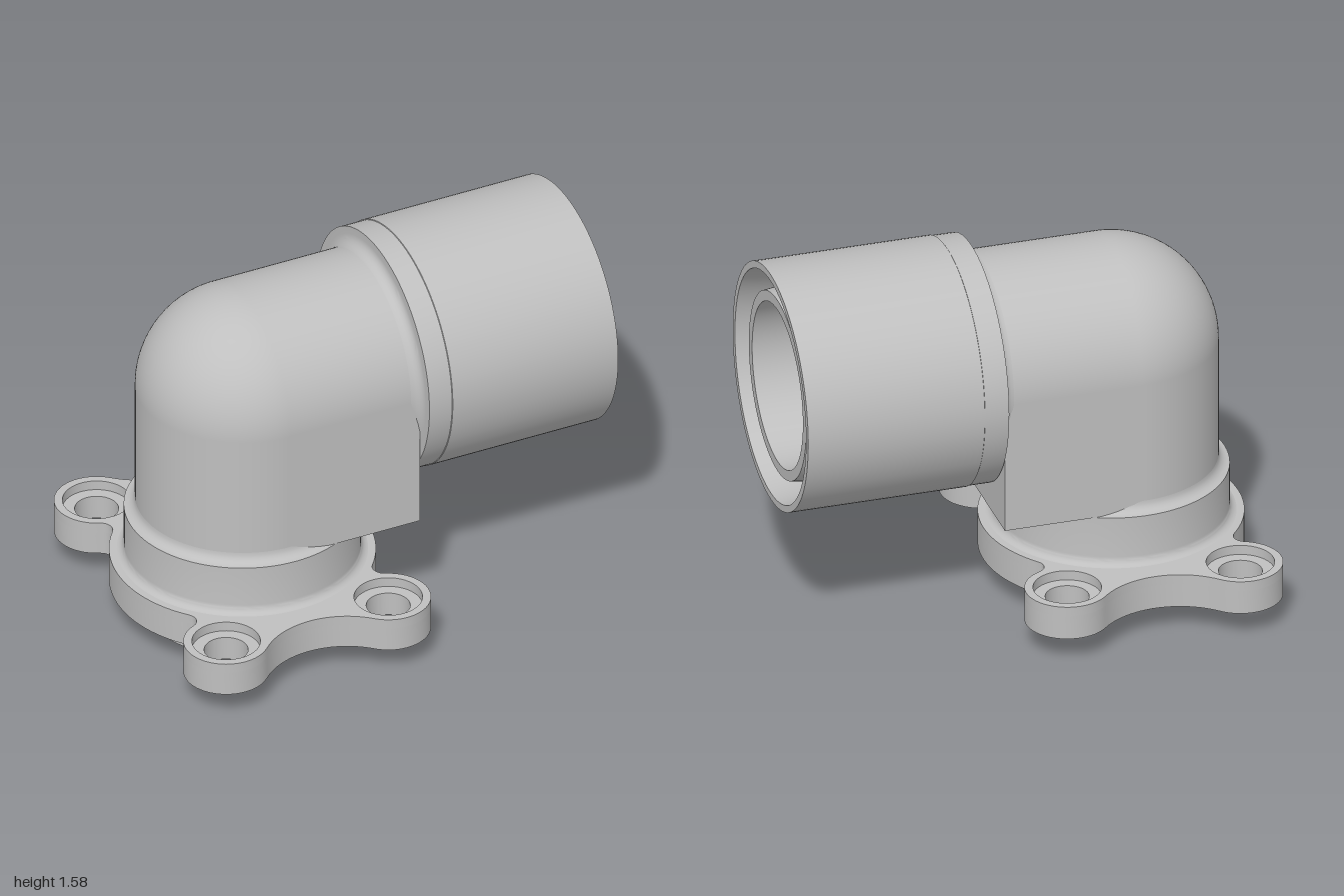
import * as THREE from 'three';
import { toCreasedNormals } from 'three/addons/utils/BufferGeometryUtils.js';

const CX = -0.455;   // vertical pipe axis
const CY = 1.06;     // horizontal pipe axis
const BODY_R = 0.44, BORE_R = 0.35, END_X = 0.135;

export function createModel() {
  const model = new THREE.Group();
  const grey = new THREE.MeshStandardMaterial({ color: 0xbfbfbf, side: THREE.DoubleSide });
  grey.name = 'light grey';

  const add = (name, geometry, x = 0, y = 0, z = 0, parent = model) => {
    const mesh = new THREE.Mesh(geometry, grey);
    mesh.name = name;
    mesh.position.set(x, y, z);
    parent.add(mesh);
    return mesh;
  };
  const lathe = (pts) => toCreasedNormals(
    new THREE.LatheGeometry(pts.map(([r, y]) => new THREE.Vector2(r, y)), 96), 0.5);

  // Concave quarter round running inwards from radius R at height Y
  const fillet = (R, Y, s, sign) => Array.from({ length: 7 }, (_, i) => {
    const t = i / 6 * Math.PI / 2;
    return [R - s * Math.sin(t), Y + sign * s * (1 - Math.cos(t))];
  });

  // Two mitred tubes and a rounded outer corner, centred on the bend
  function elbow(name, r, drop, run) {
    const group = new THREE.Group();
    group.name = name;
    group.position.set(CX, CY, 0);
    model.add(group);
    const tube = (length, s) => {
      const g = new THREE.CylinderGeometry(r, r, 1, 96, 1, true);
      const p = g.attributes.position;
      for (let i = 0; i < p.count; i++) {
        p.setY(i, p.getY(i) > 0 ? -Math.max(s * p.getX(i), 0) : -length);
      }
      return g;
    };
    add(name + 'Upright', tube(drop, 1), 0, 0, 0, group);
    add(name + 'Run', tube(run, -1).rotateZ(Math.PI / 2), 0, 0, 0, group);
    add(name + 'Corner', new THREE.SphereGeometry(r, 48, 24, -Math.PI / 2, Math.PI, 0, Math.PI / 2), 0, 0, 0, group);
  }
  elbow('body', BODY_R, CY - 0.5, 0.12 - CX);
  elbow('bore', BORE_R, CY - 0.5, 0.97 - CX);

  // Square block filling the inside of the bend
  const len = END_X - CX, wallH = CY - 0.48;
  for (const s of [1, -1]) {
    const wall = new THREE.PlaneGeometry(len, wallH);
    if (s < 0) wall.rotateY(Math.PI);
    add('blockSide', wall, CX + len / 2, 0.48 + wallH / 2, s * BODY_R);
  }
  const end = new THREE.Shape();
  end.moveTo(-BODY_R, -wallH);
  end.lineTo(BODY_R, -wallH);
  end.lineTo(BODY_R, 0);
  end.absarc(0, 0, BODY_R, 0, Math.PI, true);
  add('blockEnd', new THREE.ShapeGeometry(end, 48).rotateY(Math.PI / 2), END_X, CY, 0);

  const a = Math.asin(BODY_R / 0.485);
  const under = new THREE.Shape();
  under.moveTo(0.485 * Math.cos(a), -BODY_R);
  under.lineTo(len, -BODY_R);
  under.lineTo(len, BODY_R);
  under.lineTo(0.485 * Math.cos(a), BODY_R);
  under.absarc(0, 0, 0.485, a, -a, true);
  add('blockUnderside', new THREE.ShapeGeometry(under, 48).rotateX(Math.PI / 2), CX, 0.48, 0);

  // Spigot, seal step and collar, with the tapered mouth of the bore
  add('collar', lathe([
    [BORE_R, 0.5], [0.385, 0], [0.41, 0], [0.41, 0.05], [0.414, 0.062], [0.425, 0.07],
    [0.46, 0.07], [0.46, 0.1], [0.45, 0.115], [0.45, 0.26],
    ...fillet(0.525, 0.26, 0.04, 1),
    ...fillet(0.485, 0.48, 0.045, 1),
  ]), CX, 0, 0);

  // Flange outline: one quadrant of tangent arcs, then mirrored
  const EX = 0.37, EZ = 0.59, EAR = 0.175, DISC = 0.545, F = 0.05;
  const D = Math.hypot(EX, EZ), d1 = DISC + F, d2 = EAR + F;
  const fa = Math.atan2(EZ, EX) - Math.acos((D * D + d1 * d1 - d2 * d2) / (2 * D * d1));
  const fx = d1 * Math.cos(fa), fz = d1 * Math.sin(fa);
  const earStart = Math.atan2(fz - EZ, fx - EX);
  const waistZ = 0.954, waistR = 0.344;
  const earEnd = Math.atan2(waistZ - EZ, -EX);
  const arc = (x, y, r, t0, t1, n) => Array.from({ length: n + 1 }, (_, i) => {
    const t = t0 + (t1 - t0) * i / n;
    return [x + r * Math.cos(t), y + r * Math.sin(t)];
  });
  const quad = [
    ...arc(0, 0, DISC, 0, fa, 12),
    ...arc(fx, fz, F, fa + Math.PI, earStart + Math.PI - 2 * Math.PI * (earStart > fa ? 1 : 0), 8).slice(1),
    ...arc(EX, EZ, EAR, earStart, earEnd, 28).slice(1),
    ...arc(0, waistZ, waistR, earEnd - Math.PI, -Math.PI / 2, 12).slice(1),
  ];
  const flip = (pts, sx, sz) => pts.map(([x, z]) => [x * sx, z * sz]);
  const back = [...quad].reverse();
  const outline = [
    ...quad, ...flip(back, -1, 1).slice(1),
    ...flip(quad, -1, -1).slice(1), ...flip(back, 1, -1).slice(1, -1),
  ].map(([x, z]) => new THREE.Vector2(x, z));

  const flangeLayer = (name, y0, y1, holeR) => {
    const shape = new THREE.Shape(outline);
    const hole = (x, z, r) => shape.holes.push(new THREE.Path().absarc(x, z, r, 0, Math.PI * 2, true));
    hole(0, 0, 0.43);
    for (const sx of [1, -1]) for (const sz of [1, -1]) hole(sx * EX, sz * EZ, holeR);
    const g = new THREE.ExtrudeGeometry(shape, { depth: y1 - y0, bevelEnabled: false, curveSegments: 32 });
    add(name, toCreasedNormals(g.rotateX(-Math.PI / 2), 0.5), CX, y0, 0);
  };
  flangeLayer('flange', 0.115, 0.22, 0.09);
  flangeLayer('flangeCounterbores', 0.22, 0.262, 0.14);

  // Outlet sleeve with a tapered ring groove around the inner tube
  add('outletSleeve', lathe([
    ...fillet(0.485, 0.14, 0.045, -1).reverse(),
    [0.517, 0.14], [0.517, 0.243], [0.52, 0.245], [0.52, 1],
    [0.49, 1], [0.455, 0.78], [0.42, 0.78], [0.395, 0.97], [BORE_R, 0.97],
  ]).rotateZ(-Math.PI / 2), 0, CY, 0);

  return model;
}
